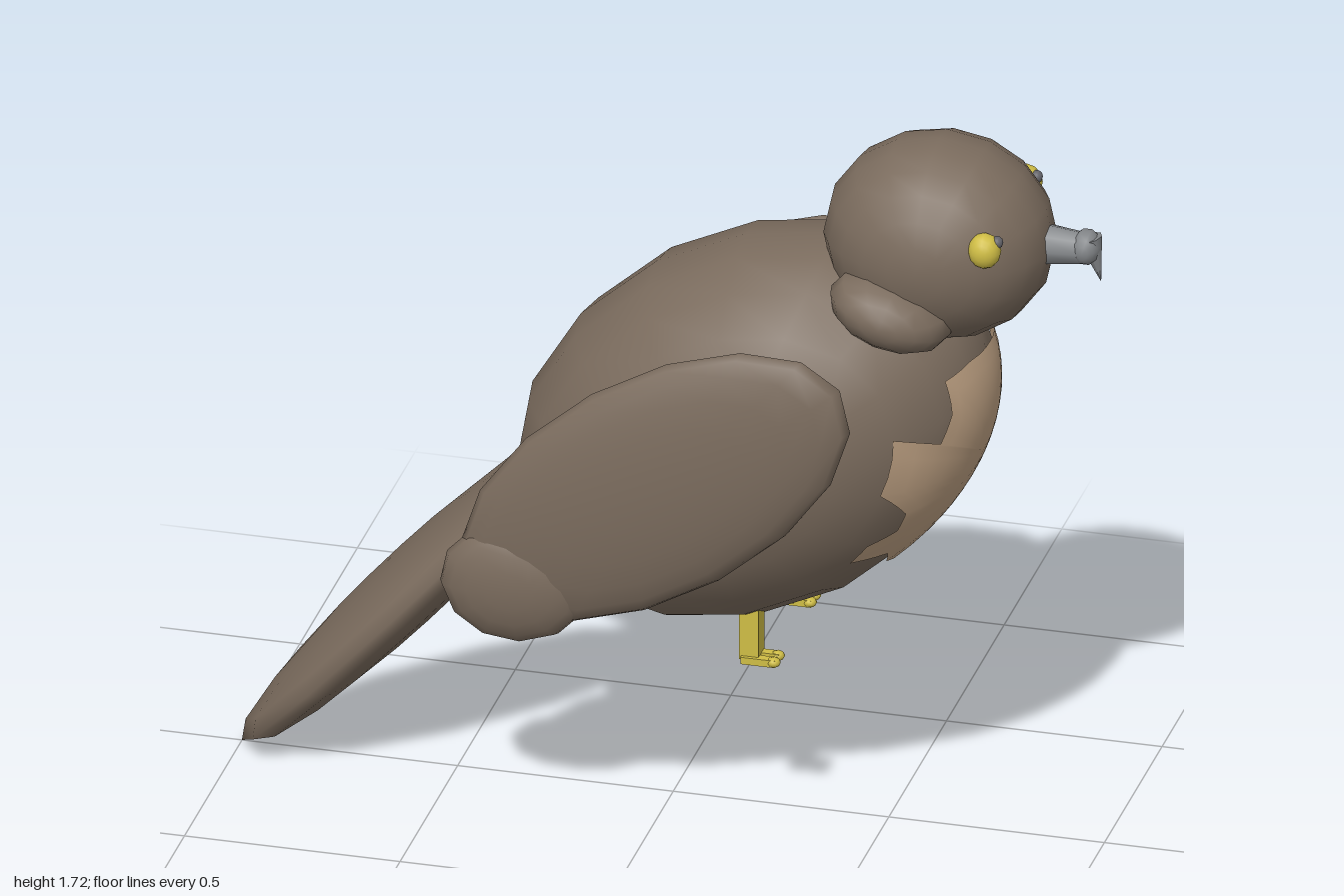
import * as THREE from 'three';

const mat = (name, color, side = THREE.FrontSide) => {
  const m = new THREE.MeshStandardMaterial({ color, side });
  m.name = name;
  return m;
};

// Body ellipsoid, also used to lay the breast patch on its surface
const BODY = { x: 0.195, y: 0.965, a: 0.6, b: 0.43, c: 0.39, tilt: 0.576 };

// x of the body's front surface at a given height and depth
function bodyFront(y, z) {
  const k = 1.006, a = BODY.a * k, b = BODY.b * k, c = BODY.c * k;
  const cs = Math.cos(BODY.tilt), sn = Math.sin(BODY.tilt), dy = y - BODY.y;
  const A = (cs / a) ** 2 + (sn / b) ** 2;
  const B = 2 * sn * cs * dy * (1 / a ** 2 - 1 / b ** 2);
  const C = (sn * dy / a) ** 2 + (cs * dy / b) ** 2 + (z / c) ** 2 - 1;
  return BODY.x + (-B + Math.sqrt(Math.max(0, B * B - 4 * A * C))) / (2 * A);
}

// Jagged patch: rings from the centre out to the edge, bent onto the body
function patchGeometry() {
  const half = [[0, 1.225], [0.1, 1.22], [0.175, 1.2], [0.175, 1.12], [0.2, 1.055], [0.28, 1.09],
    [0.285, 0.95], [0.22, 0.88], [0.21, 0.83], [0.245, 0.8], [0.24, 0.75], [0.17, 0.75], [0.13, 0.71], [0, 0.67]];
  const edge = [...half, ...half.slice(1, -1).reverse().map(([z, y]) => [-z, y])];
  const rim = [];
  edge.forEach(([z, y], i) => {
    const [z2, y2] = edge[(i + 1) % edge.length];
    for (let j = 0; j < 3; j++) rim.push([z + (z2 - z) * j / 3, y + (y2 - y) * j / 3]);
  });
  const rings = 8, n = rim.length, cy = 0.95;
  const pos = [bodyFront(cy, 0), cy, 0], index = [];
  for (let r = 1; r <= rings; r++) {
    for (const [rz, ry] of rim) {
      const z = rz * r / rings, y = cy + (ry - cy) * r / rings;
      pos.push(bodyFront(y, z), y, z);
    }
  }
  for (let i = 0; i < n; i++) {
    const j = (i + 1) % n;
    index.push(0, 1 + i, 1 + j);
    for (let r = 0; r < rings - 1; r++) {
      const a = 1 + r * n + i, b = 1 + r * n + j;
      index.push(a, a + n, b, b, a + n, b + n);
    }
  }
  const g = new THREE.BufferGeometry();
  g.setAttribute('position', new THREE.Float32BufferAttribute(pos, 3));
  g.setIndex(index);
  g.computeVertexNormals();
  return g;
}

export function createModel() {
  const bird = new THREE.Group();
  bird.name = 'bird';
  const plumage = mat('brown plumage', 0x7a6b5d);
  const tan = mat('tan breast', 0xbda082, THREE.DoubleSide);
  const yellow = mat('yellow', 0xcfbd45);
  const grey = mat('beak grey', 0x84878a);
  const pupilGrey = mat('pupil grey', 0x66666c);

  const add = (name, geometry, material, position, rotZ = 0, parent = bird) => {
    const m = new THREE.Mesh(geometry, material);
    m.name = name;
    m.position.set(...position);
    m.rotation.z = rotZ;
    parent.add(m);
    return m;
  };
  // Smooth ellipsoid with its poles along z
  const blob = (rx, ry, rz, w = 16, h = 12) =>
    new THREE.SphereGeometry(1, w, h).rotateX(Math.PI / 2).scale(rx, ry, rz);

  // Body, breast and head
  add('body', blob(BODY.a, BODY.b, BODY.c), plumage, [BODY.x, BODY.y, 0], BODY.tilt);
  add('breastPatch', patchGeometry(), tan, [0, 0, 0]);
  add('head', blob(0.265, 0.24, 0.23), plumage, [0.62, 1.48, 0]);

  // Flat tail
  add('tail', new THREE.SphereGeometry(1, 12, 8).scale(0.6, 0.078, 0.215), plumage, [-0.599, 0.45, 0], 0.838);

  // Beak: base, bulb and downward hook
  const beak = new THREE.Group();
  beak.name = 'beak';
  bird.add(beak);
  add('beakBase', new THREE.CylinderGeometry(0.038, 0.05, 0.1, 8), grey, [0.9, 1.485, 0], -Math.PI / 2, beak);
  add('beakBulb', blob(0.035, 0.042, 0.042, 10, 8), grey, [0.958, 1.49, 0], 0, beak);
  add('beakHook', new THREE.ConeGeometry(0.03, 0.11, 8), grey, [0.979, 1.46, 0], Math.PI + 0.25, beak);

  for (const s of [1, -1]) {
    const side = s > 0 ? 'left' : 'right';
    const sided = s > 0 ? 'Front' : 'Back';
    const half = new THREE.Group();
    half.name = (sided === 'Front' ? 'nearSide' : 'farSide') + 'Parts';
    bird.add(half);
    const put = (name, g, m, [x, y, z], r = 0) => add(name, g, m, [x, y, s * z], r, half);

    // Wing and its rounded tip
    put('wing', blob(0.52, 0.26, 0.072), plumage, [0.055, 0.945, 0.36], 0.607);
    put('wingTip', blob(0.175, 0.147, 0.066, 12, 10), plumage, [-0.27, 0.668, 0.36], 0.1);
    // Neck ruff beside the head
    put('neckRuff', blob(0.145, 0.083, 0.12, 12, 10), plumage, [0.55, 1.36, 0.165], -0.3);
    // Eye with pupil
    put('eye', blob(0.038, 0.042, 0.035, 12, 10), yellow, [0.77, 1.542, 0.18]);
    put('pupil', blob(0.014, 0.015, 0.016, 10, 8), pupilGrey, [0.797, 1.562, 0.172]);

    // Leg, foot and toes
    put('leg', new THREE.BoxGeometry(0.045, 0.19, 0.052), yellow, [0.222, 0.54, 0.15]);
    for (const t of [-1, 1]) {
      put('toe', new THREE.BoxGeometry(0.08, 0.017, 0.022), yellow, [0.245, 0.446, 0.157 + t * 0.017]);
      put('toeEnd', blob(0.016, 0.012, 0.015, 8, 6), yellow, [0.28, 0.447, 0.157 + t * 0.018]);
    }
  }
  return bird;
}
